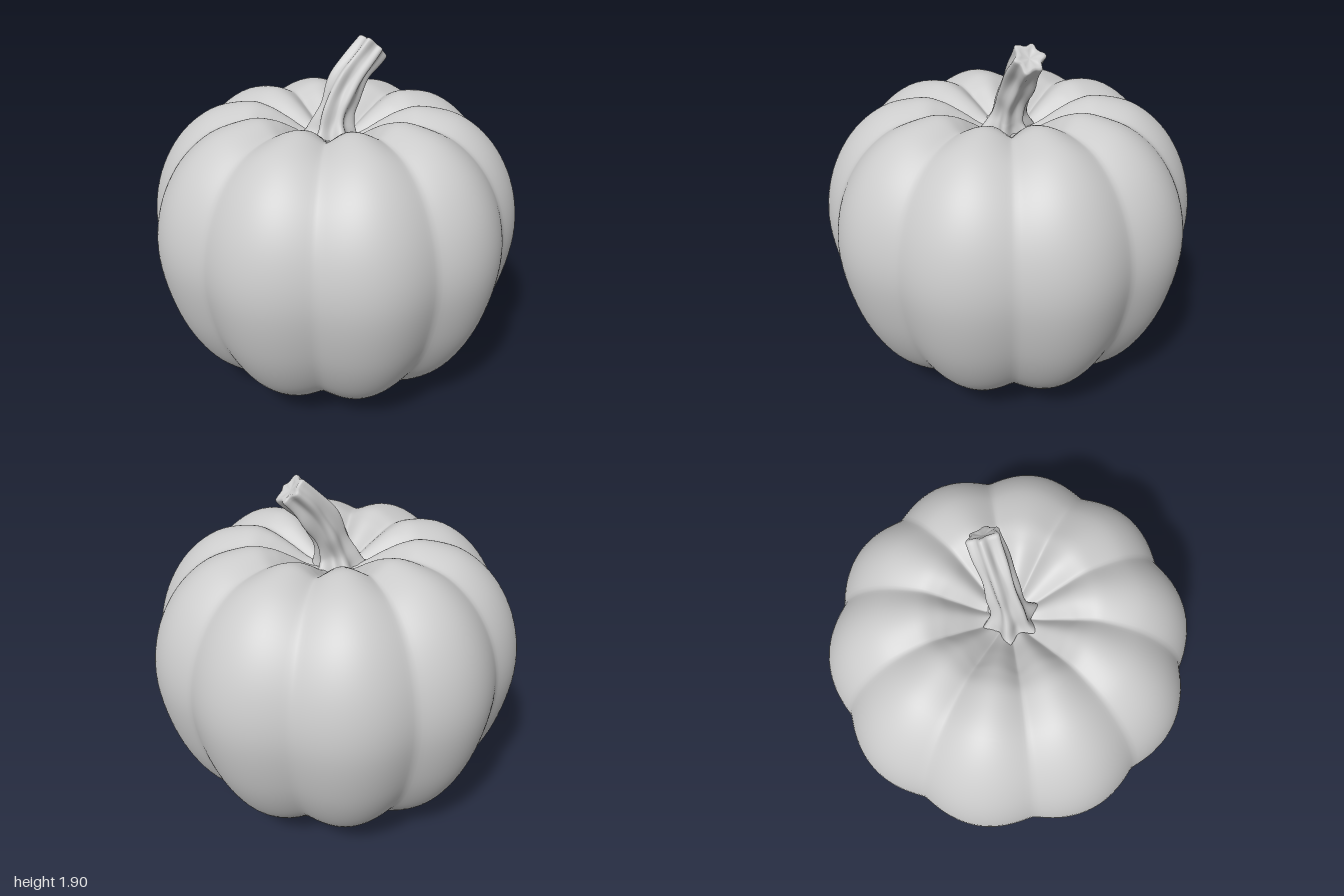
import * as THREE from 'three';

// Closed-ring surface: point(i, angle) gives the vertex of row i.
function loft(rows, cols, point) {
  const pos = [], index = [];
  for (let i = 0; i < rows; i++) {
    for (let j = 0; j < cols; j++) pos.push(...point(i, (j / cols) * Math.PI * 2));
  }
  for (let i = 0; i < rows - 1; i++) {
    for (let j = 0; j < cols; j++) {
      const k = (j + 1) % cols;
      const a = i * cols + j, b = i * cols + k, c = b + cols, d = a + cols;
      index.push(a, b, c, a, c, d);
    }
  }
  const geo = new THREE.BufferGeometry();
  geo.setAttribute('position', new THREE.Float32BufferAttribute(pos, 3));
  geo.setIndex(index);
  geo.computeVertexNormals();
  return geo;
}

// Body: a round profile with ten lobes, dimpled at both poles.
function bodyGeometry() {
  const profile = new THREE.SplineCurve([
    [0, 0.17], [0.06, 0.15], [0.15, 0.075], [0.25, 0.015], [0.36, 0], [0.51, 0.045],
    [0.68, 0.155], [0.825, 0.32], [0.94, 0.57], [1, 0.88], [0.965, 1.14], [0.85, 1.36],
    [0.675, 1.508], [0.47, 1.56], [0.35, 1.538], [0.25, 1.485], [0.15, 1.42], [0.06, 1.385], [0, 1.375],
  ].map(([r, y]) => new THREE.Vector2(r, y)));
  const rows = 109;
  return loft(rows, 240, (i, a) => {
    const u = i / (rows - 1);
    const p = profile.getPoint(u), t = profile.getTangent(u);
    // Grooves sink along the profile normal and fade out at the poles.
    const lobe = Math.sqrt(Math.cos(5 * a) ** 2 + 0.006) / Math.sqrt(1.006);
    const depth = 0.055 * Math.min(1, p.x / 0.3) * (1 - lobe);
    const r = Math.max(0, p.x - t.y * depth), y = p.y + t.x * depth;
    return [r * Math.cos(a), y, -r * Math.sin(a)];
  });
}

// Stem: a leaning ribbed stalk with flared feet and a knobbly cut end.
function stemGeometry() {
  const path = new THREE.CatmullRomCurve3([
    [-0.015, 1.39, 0], [0, 1.48, 0], [0.05, 1.6, -0.008], [0.135, 1.725, -0.015], [0.243, 1.838, -0.015],
  ].map((p) => new THREE.Vector3(...p)));
  const body = 40;
  const cap = [[0.94, 0.008], [0.8, 0.012], [0.6, 0.007], [0.3, 0.002], [0, 0]];
  return loft(body + cap.length, 72, (i, a) => {
    const t = Math.min(1, i / (body - 1));
    const [scale, lift] = i < body ? [1, 0] : cap[i - body];
    const c = path.getPoint(t), d = path.getTangent(t);
    const flare = Math.max(0, 1 - t / 0.42) ** 2;
    const bulge = Math.max(0, (t - 0.8) / 0.2) ** 2;
    // Six wavering ribs, strongest at the feet.
    const wave = 0.5 + 0.5 * Math.cos(6 * (a - Math.PI / 6) + 0.5 * Math.sin(5 * t));
    const rib = (wave ** 1.4 - 0.45) * (0.022 + 0.035 * flare);
    const lump = 0.005 * Math.sin(3 * a + 9 * t) + 0.003 * Math.sin(2 * a - 17 * t);
    const r = (0.076 + 0.052 * flare + 0.002 * bulge + rib + lump) * scale;
    const wide = 1 + 0.16 * Math.sin(Math.PI * t);
    const s = r * wide * Math.cos(a);
    return [c.x + d.y * s + d.x * lift, c.y - d.x * s + d.y * lift, c.z - r * Math.sin(a)];
  });
}

export function createModel() {
  const group = new THREE.Group();
  group.name = 'pumpkin';
  const material = new THREE.MeshStandardMaterial({ color: 0xcccccc });
  const parts = { body: bodyGeometry(), stem: stemGeometry() };
  for (const [name, geometry] of Object.entries(parts)) {
    const mesh = new THREE.Mesh(geometry, material);
    mesh.name = name;
    group.add(mesh);
  }
  return group;
}
